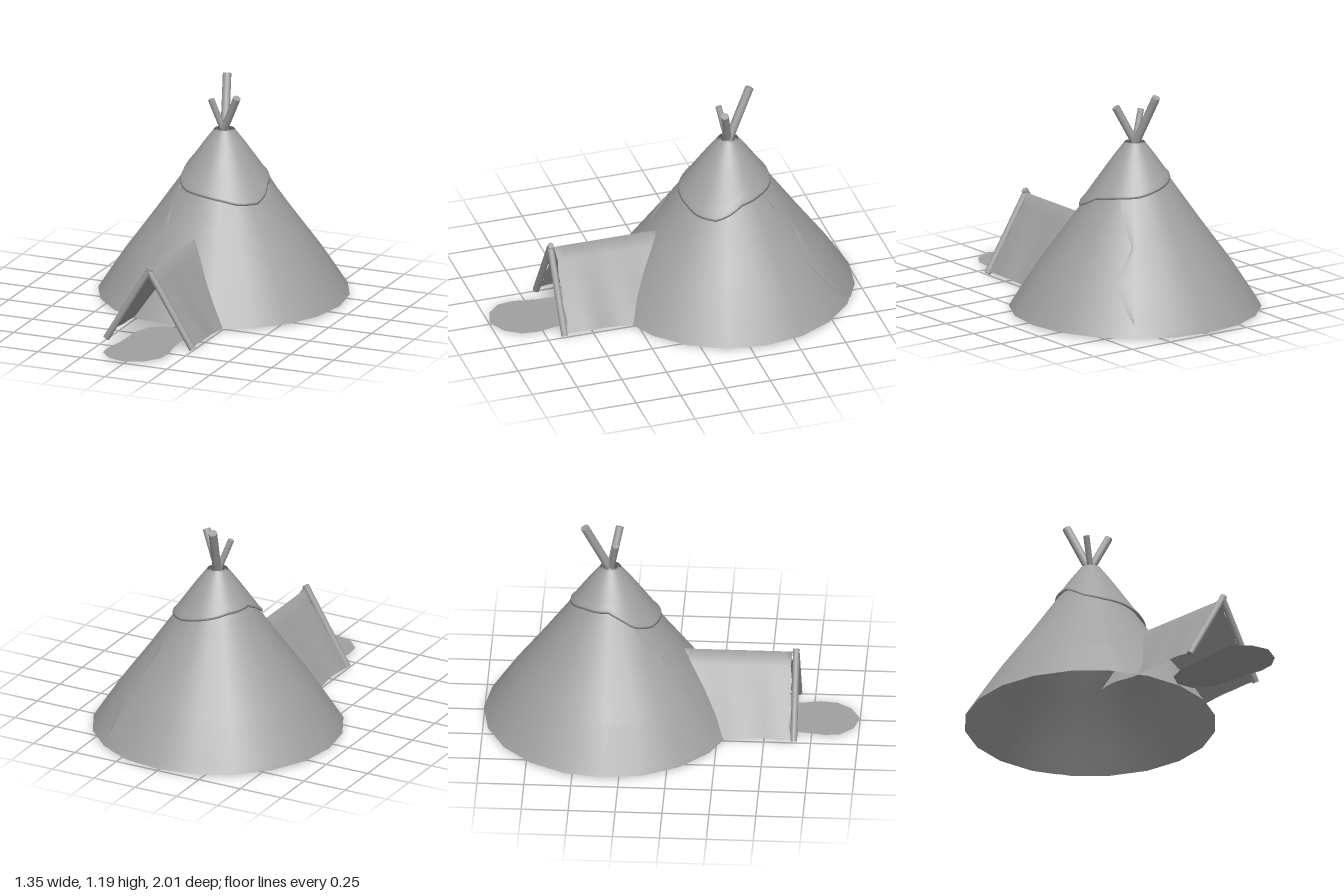
import * as THREE from 'three';
import { mergeVertices } from 'three/addons/utils/BufferGeometryUtils.js';

const RAD = Math.PI / 180;
const CENTRE_Z = -0.33;

// tent silhouette as [radius, height]
const PROFILE = [[0.67, 0.015], [0.6, 0.125], [0.525, 0.24], [0.445, 0.35], [0.365, 0.46],
  [0.295, 0.56], [0.225, 0.66], [0.17, 0.74], [0.1, 0.84], [0.04, 0.92]];
// overlap edges as [height, degrees from the front]
const FRONT_SEAM = [[0.015, 338], [0.11, 334], [0.22, 332], [0.3, 333], [0.39, 336], [0.55, 319], [0.68, 308], [0.72, 304]];
const BACK_SEAM = [[0.015, 150], [0.05, 146], [0.17, 138], [0.28, 133], [0.36, 137], [0.44, 142], [0.54, 135], [0.62, 127], [0.72, 125]];
// lower edge of the top cover as [degrees, height]
const HEM = [[0, 0.62], [20, 0.607], [40, 0.583], [60, 0.58], [72, 0.6], [90, 0.645], [120, 0.665], [150, 0.675],
  [180, 0.7], [225, 0.735], [270, 0.742], [290, 0.705], [305, 0.66], [330, 0.63], [360, 0.62]];

// piecewise linear lookup
function lookup(table, t) {
  for (let i = 1; i < table.length; i++) {
    const [a, va] = table[i - 1], [b, vb] = table[i];
    if (t <= b) return va + (vb - va) * Math.max(0, (t - a) / (b - a));
  }
  return table[table.length - 1][1];
}
const radiusAt = (y) => lookup(PROFILE.map(([r, h]) => [h, r]), y);

export function createModel() {
  const group = new THREE.Group();
  const canvas = new THREE.MeshStandardMaterial({ color: 0xa0a0a0, side: THREE.DoubleSide });
  canvas.name = 'grey canvas';

  function add(name, geometry) {
    const mesh = new THREE.Mesh(geometry, canvas);
    mesh.name = name;
    group.add(mesh);
    return mesh;
  }

  // smooth sheet: place(column, row) gives each point, row 0 at the bottom
  function sheet(name, cols, rows, place) {
    const geo = new THREE.PlaneGeometry(1, 1, cols, rows);
    const pos = geo.attributes.position;
    for (let i = 0; i < pos.count; i++) {
      const col = i % (cols + 1), row = rows - Math.floor(i / (cols + 1));
      pos.setXYZ(i, ...place(col, row));
    }
    geo.deleteAttribute('uv');
    geo.deleteAttribute('normal');
    const merged = mergeVertices(geo, 1e-5);
    merged.computeVertexNormals();
    return add(name, merged);
  }

  function pole(name, from, to, radius) {
    const a = new THREE.Vector3(...from), b = new THREE.Vector3(...to);
    const dir = b.clone().sub(a);
    const mesh = add(name, new THREE.CylinderGeometry(radius, radius, dir.length(), 12));
    mesh.position.copy(a).add(b).multiplyScalar(0.5);
    mesh.quaternion.setFromUnitVectors(new THREE.Vector3(0, 1, 0), dir.normalize());
  }

  // main tent cone, twenty sides
  const cone = new THREE.LatheGeometry(PROFILE.map(([r, y]) => new THREE.Vector2(r, y)), 20);
  add('tentCone', cone).position.z = CENTRE_Z;

  // overlapping outer layer on one side, following the cone's facets
  sheet('overlapLayer', 15, 28, (col, row) => {
    const y = 0.015 + 0.705 * row / 28;
    const deg = Math.min(Math.max(18 * (5 + col), lookup(BACK_SEAM, y)), lookup(FRONT_SEAM, y));
    const facet = Math.cos(9 * RAD) / Math.cos(((deg % 18) - 9) * RAD);
    const lift = col === 0 || col === 15 ? 0 : 0.005;
    const r = radiusAt(y) * facet + lift;
    return [r * Math.sin(deg * RAD), y, CENTRE_Z + r * Math.cos(deg * RAD)];
  });

  // top cover with an uneven hem that folds back onto the cone
  sheet('topCover', 48, 12, (col, row) => {
    const deg = col * 7.5;
    const hem = lookup(HEM, deg);
    const t = Math.max(0, row - 2) / 10;
    const y = row === 0 ? hem + 0.002 : row === 1 ? hem - 0.006 : hem + 0.008 + (0.92 - hem - 0.008) * t;
    const lift = [0, 0.013, 0.019][row] ?? 0.015;
    const r = radiusAt(y) + lift;
    return [r * Math.sin(deg * RAD), y, CENTRE_Z + r * Math.cos(deg * RAD)];
  });

  // entrance passage: a folded sheet running into the cone
  sheet('entrancePassage', 12, 14, (col, row) => {
    const s = (col - 6) / 6, down = Math.abs(s);
    const back = 0.06 - 0.06 * down;
    const front = 0.642 - 0.01 * Math.sin(down * 9) ** 2;
    const z = front + (back - front) * row / 14;
    const ripple = 0.005 * Math.sin(z * 26 + s) * down;
    const y = 0.42 - (0.397 - 0.006 * Math.sin(z * 15)) * down;
    return [s * 0.253 + Math.sign(s) * ripple, y, z];
  });

  // crossed door poles
  for (const side of [-1, 1]) {
    pole('doorPole', [side * 0.25, 0.013, 0.66], [side * -0.006, side < 0 ? 0.435 : 0.425, 0.66], 0.018);
  }

  // pole tips above the smoke hole
  pole('tallPoleTip', [0.005, 0.88, -0.32], [-0.044, 1.185, -0.465], 0.023);
  pole('leftPoleTip', [-0.015, 0.89, -0.335], [0.092, 1.115, -0.285], 0.021);
  pole('rightPoleTip', [0.005, 0.89, -0.33], [-0.064, 1.085, -0.298], 0.017);

  // flat rug in front of the door
  const outline = [[0, 1], [0.1, 0.95], [0.155, 0.87], [0.165, 0.78], [0.145, 0.68], [0.14, 0.56], [0.12, 0.45],
    [0.06, 0.37], [-0.03, 0.35], [-0.11, 0.4], [-0.15, 0.5], [-0.15, 0.6], [-0.155, 0.7], [-0.175, 0.82],
    [-0.165, 0.9], [-0.1, 0.97]];
  const rug = new THREE.ShapeGeometry(new THREE.Shape(outline.map(([x, z]) => new THREE.Vector2(x, -z))));
  rug.rotateX(-Math.PI / 2);
  add('rug', rug).position.y = 0.013;

  return group;
}
